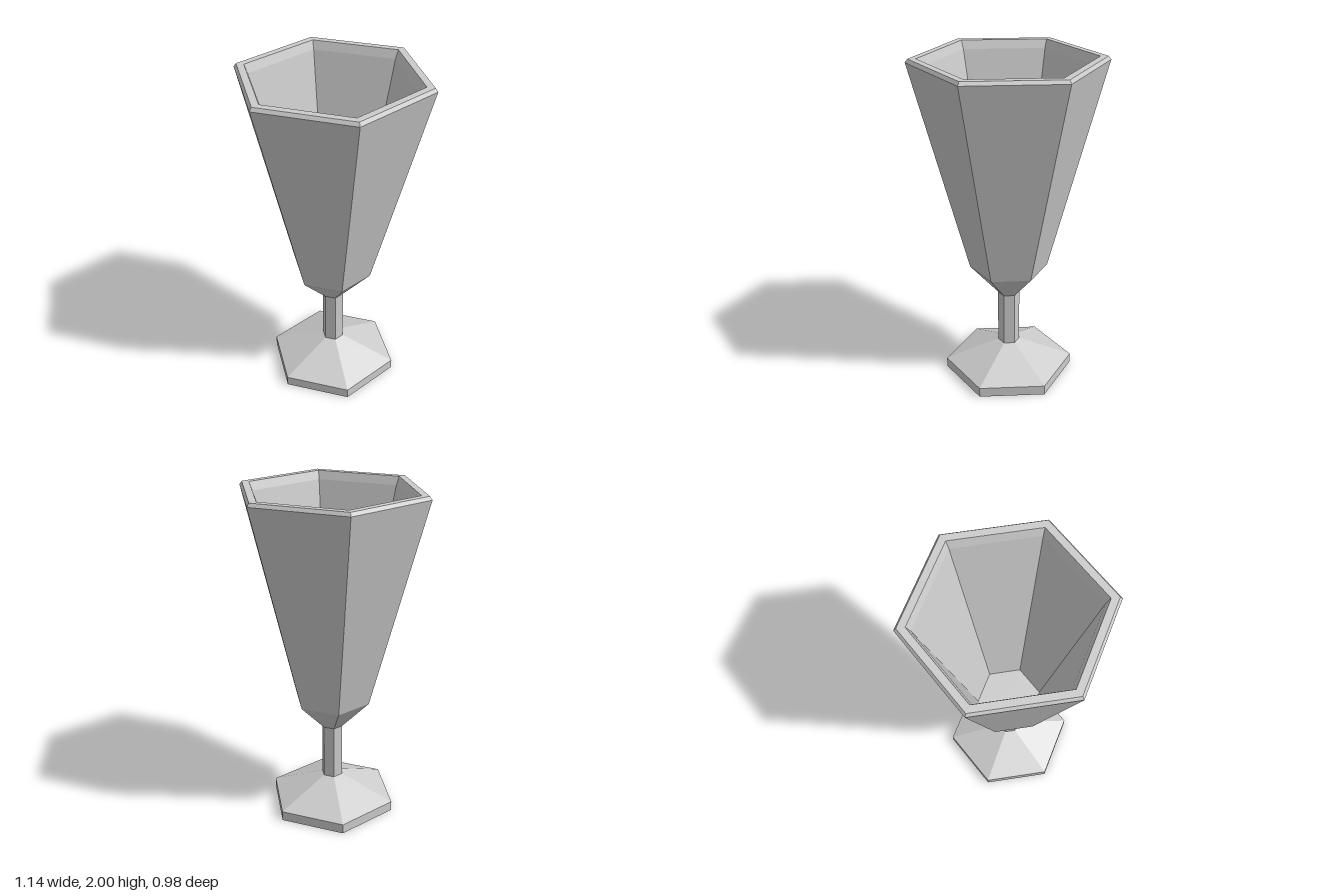
import * as THREE from 'three';

const material = new THREE.MeshStandardMaterial({ color: 0xcccccc, flatShading: true });

// Six-sided turned part with corners on the x axis; profile is [radius, height] pairs
function hexPart(name, profile) {
  const points = profile.map(([r, y]) => new THREE.Vector2(r, y));
  const geometry = new THREE.LatheGeometry(points, 6, Math.PI / 2).toNonIndexed();
  geometry.computeVertexNormals();
  const mesh = new THREE.Mesh(geometry, material);
  mesh.name = name;
  return mesh;
}

export function createModel() {
  const goblet = new THREE.Group();
  goblet.name = 'goblet';

  // Flat-bottomed foot sloping up to the stem
  goblet.add(hexPart('foot', [[0, 0], [0.395, 0], [0.395, 0.06], [0.066, 0.195]]));

  // Slender straight stem
  goblet.add(hexPart('stem', [[0.066, 0.195], [0.066, 0.535]]));

  // Bowl: outer wall, chamfered rim, then the hollow down to its floor
  goblet.add(hexPart('bowl', [
    [0.066, 0.535], [0.235, 0.715], [0.568, 1.98], [0.553, 2],
    [0.507, 2], [0.486, 1.95], [0.193, 0.75], [0, 0.75],
  ]));

  return goblet;
}
